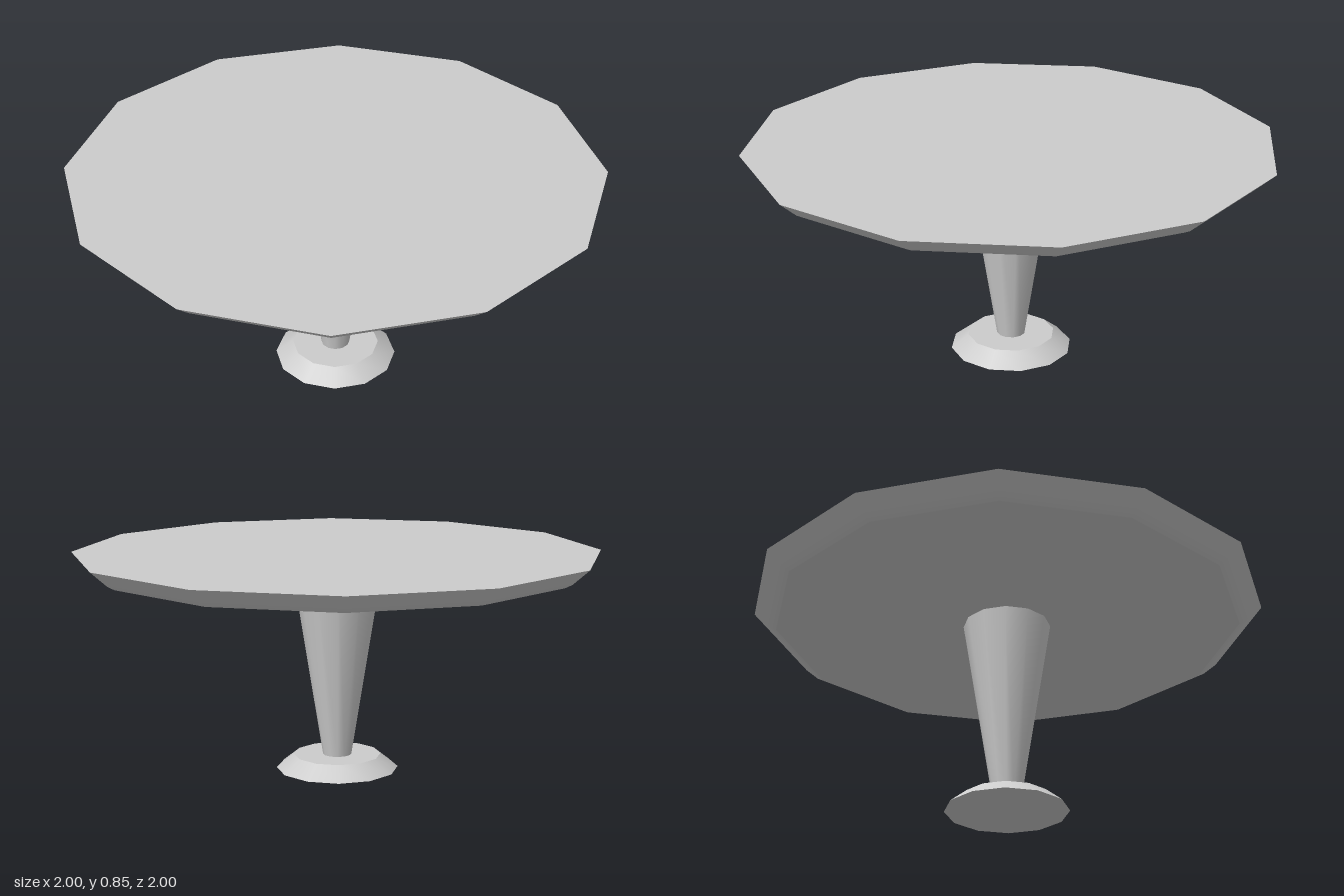
import * as THREE from 'three';
import { mergeGeometries } from 'three/addons/utils/BufferGeometryUtils.js';

const SIDES = 12;

// Each run is a list of [radius, height] points, going anticlockwise up the outside;
// normals are smooth within a run and sharp between runs.
function turned(name, material, runs) {
  const parts = runs.map((run) =>
    new THREE.LatheGeometry(run.map(([r, y]) => new THREE.Vector2(r, y)), SIDES));
  const mesh = new THREE.Mesh(mergeGeometries(parts), material);
  mesh.name = name;
  return mesh;
}

export function createModel() {
  const grey = new THREE.MeshStandardMaterial({ color: 0xcccccc });
  grey.name = 'light grey';

  const table = new THREE.Group();
  table.name = 'pedestalTable';

  // Flared foot
  table.add(turned('foot', grey, [
    [[0, 0], [0.235, 0]],
    [[0.235, 0], [0.168, 0.053]],
    [[0.168, 0.053], [0, 0.053]],
  ]));

  // Column widening towards the top
  table.add(turned('column', grey, [
    [[0.055, 0.053], [0.17, 0.775]],
  ]));

  // Top with a bevelled underside
  table.add(turned('tableTop', grey, [
    [[0, 0.775], [0.91, 0.775]],
    [[0.91, 0.775], [0.937, 0.789], [1, 0.845]],
    [[1, 0.845], [0, 0.845]],
  ]));

  return table;
}
